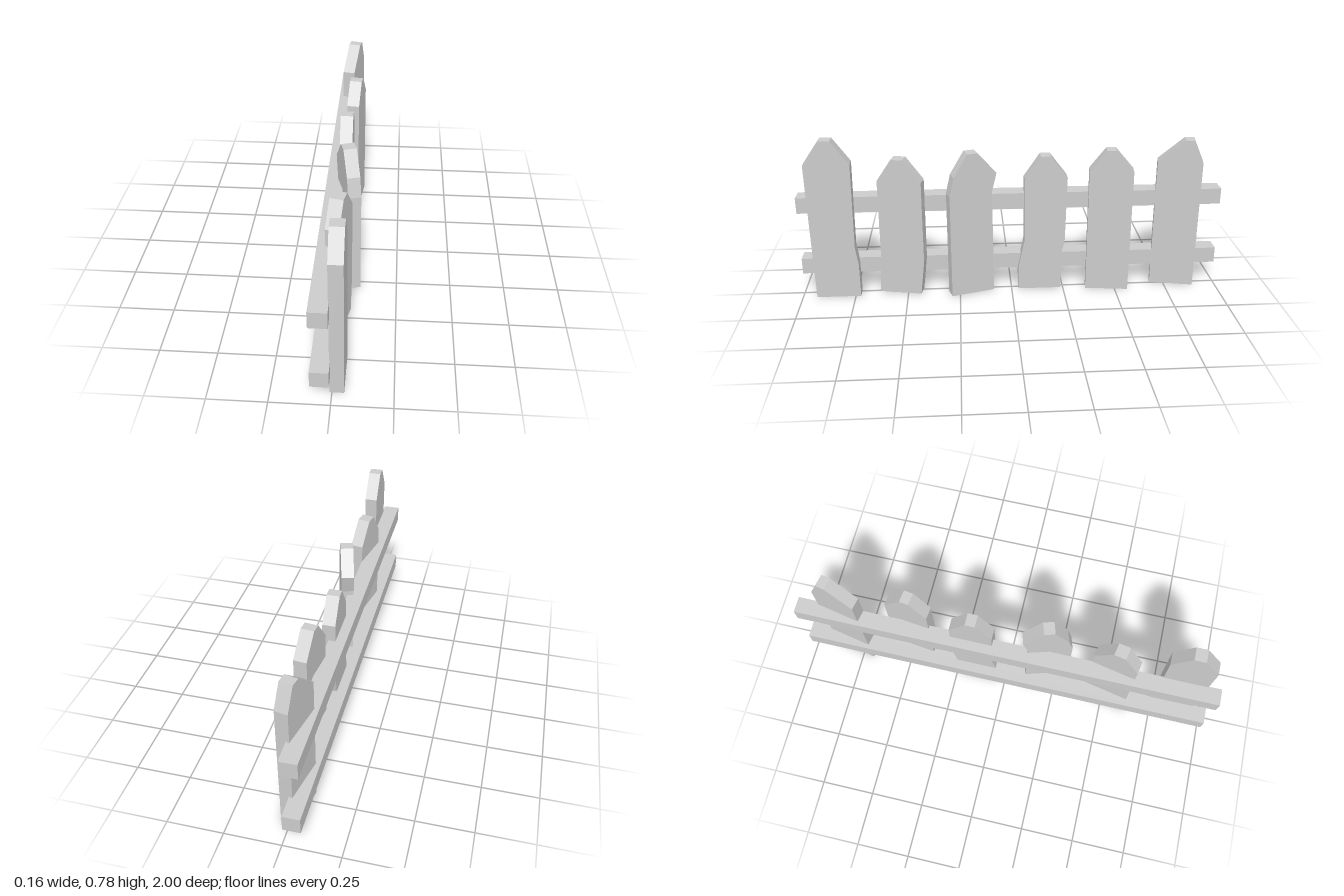
import * as THREE from 'three';

const material = new THREE.MeshStandardMaterial({ color: 0xcccccc, flatShading: true });
const THICKNESS = 0.059;

// Each picket: centre x and z, yaw, and its outline as [z, y] points
const PICKETS = [
  { x: 0.02, z: 0.833, yaw: 0, outline: [
    [0.933, 0], [0.936, 0.25], [0.94, 0.665], [0.862, 0.777], [0.81, 0.777],
    [0.73, 0.665], [0.737, 0.255], [0.725, 0.165], [0.725, 0]] },
  { x: 0, z: 0.516, yaw: -0.2, outline: [
    [0.63, 0], [0.617, 0.17], [0.614, 0.57], [0.545, 0.675], [0.491, 0.675],
    [0.411, 0.57], [0.412, 0.17], [0.432, 0]] },
  { x: 0.02, z: 0.185, yaw: 0.29, outline: [
    [0.296, 0], [0.296, 0.51], [0.275, 0.6], [0.211, 0.705], [0.163, 0.705],
    [0.078, 0.6], [0.1, 0.51], [0.094, 0]] },
  { x: -0.008, z: -0.145, yaw: 0, outline: [
    [-0.035, 0], [-0.032, 0.11], [-0.06, 0.25], [-0.06, 0.565], [-0.134, 0.675],
    [-0.18, 0.675], [-0.26, 0.57], [-0.254, 0.25], [-0.238, 0.18], [-0.238, 0]] },
  { x: 0.02, z: -0.465, yaw: -0.12, outline: [
    [-0.362, 0], [-0.362, 0.605], [-0.437, 0.705], [-0.48, 0.705],
    [-0.565, 0.605], [-0.565, 0]] },
  { x: -0.013, z: -0.79, yaw: -0.2, outline: [
    [-0.69, 0], [-0.69, 0.63], [-0.806, 0.738], [-0.848, 0.738],
    [-0.894, 0.63], [-0.894, 0]] },
];

// Extrudes an outline to a board, standing along z and turned by its yaw
function makePicket({ x, z, yaw, outline }) {
  const points = outline.map(([pz, py]) => new THREE.Vector2((pz - z) / Math.cos(yaw), py));
  const geometry = new THREE.ExtrudeGeometry(new THREE.Shape(points), {
    depth: THICKNESS, bevelEnabled: false,
  });
  geometry.translate(0, 0, -THICKNESS / 2);
  geometry.rotateY(-Math.PI / 2);
  const mesh = new THREE.Mesh(geometry, material);
  mesh.position.set(x, 0, z);
  mesh.rotation.y = yaw;
  return mesh;
}

export function createModel() {
  const fence = new THREE.Group();
  fence.name = 'picketFence';

  // Two long rails behind the pickets
  [['lowerRail', 0.14], ['upperRail', 0.45]].forEach(([name, y]) => {
    const rail = new THREE.Mesh(new THREE.BoxGeometry(0.077, 0.077, 2), material);
    rail.name = name;
    rail.position.set(-0.044, y, 0);
    fence.add(rail);
  });

  // Crooked pickets
  PICKETS.forEach((spec, i) => {
    const picket = makePicket(spec);
    picket.name = `picket${i + 1}`;
    fence.add(picket);
  });

  return fence;
}
